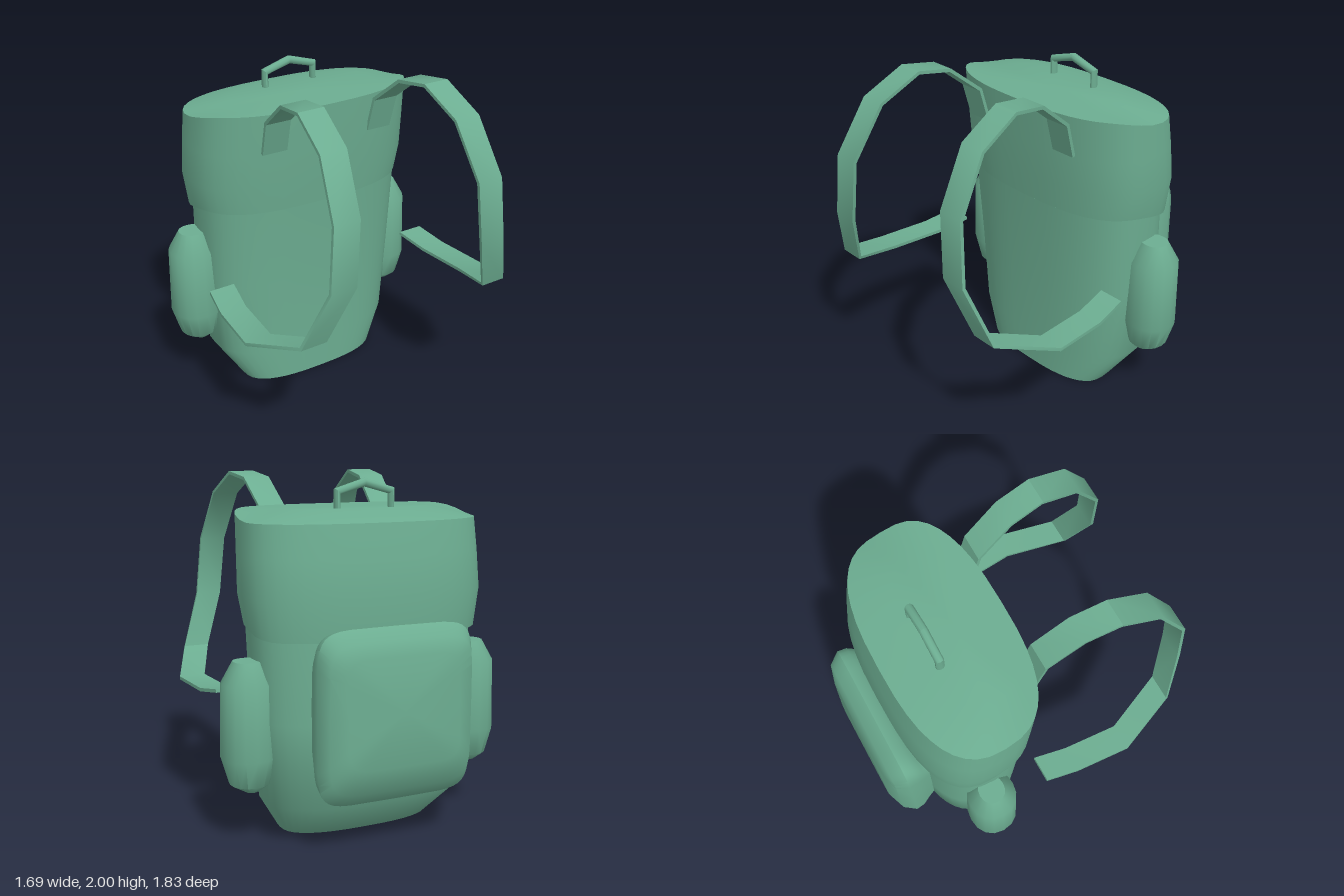
import * as THREE from 'three';
import { toCreasedNormals } from 'three/addons/utils/BufferGeometryUtils.js';

const V = (x, y, z) => new THREE.Vector3(x, y, z);

// Skins a row of rings (equal point counts) and caps both ends, always facing outward.
function loft(rings, crease = 0.75) {
  const n = rings[0].length, pos = [], tris = [];
  rings.forEach(r => r.forEach(p => pos.push(p)));
  for (let i = 0; i < rings.length - 1; i++)
    for (let j = 0; j < n; j++) {
      const a = i * n + j, b = i * n + (j + 1) % n;
      tris.push([a, b, a + n], [b, b + n, a + n]);
    }
  [0, rings.length - 1].forEach(i => {
    const mid = V(0, 0, 0);
    rings[i].forEach(p => mid.addScaledVector(p, 1 / n));
    const c = pos.push(mid) - 1;
    for (let j = 0; j < n; j++) {
      const a = i * n + j, b = i * n + (j + 1) % n;
      tris.push(i ? [a, b, c] : [b, a, c]);
    }
  });
  let volume = 0;
  const cross = V(0, 0, 0);
  tris.forEach(([a, b, c]) => { volume += pos[a].dot(cross.crossVectors(pos[b], pos[c])); });
  if (volume < 0) tris.forEach(t => t.reverse());
  const g = new THREE.BufferGeometry().setFromPoints(pos);
  g.setIndex(tris.flat());
  return toCreasedNormals(g, crease);
}

// Superellipse as [u, v] pairs; a higher power gives squarer corners.
function superEllipse(ru, rv, power, n) {
  const f = t => Math.sign(t) * Math.abs(t) ** (2 / power);
  return Array.from({ length: n }, (_, i) => {
    const a = (i / n) * Math.PI * 2;
    return [ru * f(Math.cos(a)), rv * f(Math.sin(a))];
  });
}

// Horizontal bag section; the height eases from yFront to yBack between z0 and z1.
function bagRing(yFront, yBack, w, zf, zb, z0 = -0.05, z1 = -0.42) {
  return superEllipse(w, (zf - zb) / 2, 2.65, 40).map(([x, v]) => {
    const z = (zf + zb) / 2 + v;
    const t = THREE.MathUtils.smoothstep(-z, -z0, -z1);
    return V(x, THREE.MathUtils.lerp(yFront, yBack, t), z);
  });
}

// Mitred unit normals of a flat path given as [a, b] pairs.
function pathNormals(path) {
  return path.map((_, i) => {
    const p = path[Math.max(i - 1, 0)], q = path[Math.min(i + 1, path.length - 1)];
    const d = new THREE.Vector2(q[0] - p[0], q[1] - p[1]).normalize();
    return [-d.y, d.x];
  });
}

export function createModel() {
  const group = new THREE.Group();
  const fabric = new THREE.MeshStandardMaterial({ color: 0x6cad91 });
  fabric.name = 'green fabric';
  const add = (name, geometry) => {
    const mesh = new THREE.Mesh(geometry, fabric);
    mesh.name = name;
    group.add(mesh);
  };

  // Main bag, narrowing to its base
  add('bagBody', loft([
    bagRing(0, 0, 0.46, -0.06, -0.46),
    bagRing(0.22, 0.22, 0.6, -0.057, -0.68),
    bagRing(0.7, 0.7, 0.645, -0.05, -0.71),
    bagRing(1.21, 1.15, 0.655, -0.01, -0.69, -0.2, -0.6),
  ]));

  // Upper section overhanging the bag, with a sloped lid
  add('topFlap', loft([
    bagRing(1.21, 1.15, 0.67, -0.01, -0.725, -0.2, -0.6),
    bagRing(1.37, 1.37, 0.7, 0.008, -0.738),
    bagRing(1.58, 1.58, 0.695, 0.028, -0.712),
    bagRing(1.82, 1.76, 0.69, 0.045, -0.678),
    bagRing(1.82, 1.82, 0.46, 0, -0.47),
  ], 0.6));

  // Back pocket: rounded panels stacked along z [z, half width, bottom, top]
  add('backPocket', loft([
    [-0.66, 0.43, 0.42, 1.12],
    [-0.70, 0.445, 0.4, 1.16],
    [-0.745, 0.457, 0.31, 1.22],
    [-0.80, 0.46, 0.285, 1.235],
    [-0.87, 0.42, 0.36, 1.17],
    [-0.905, 0.33, 0.5, 1.09],
  ].map(([z, w, y0, y1], i) =>
    superEllipse(w, (y1 - y0) / 2, 7, 40).map(([x, v]) => {
      const y = (y0 + y1) / 2 + v;
      return V(x, y, z + (i === 5 ? (y - 0.8) * 0.035 : 0));
    }))));

  // Carrying handle on the lid
  const bar = [[-0.163, 1.79], [-0.163, 1.91], [0, 1.957], [0.163, 1.91], [0.163, 1.79]];
  const barNormals = pathNormals(bar);
  add('carryHandle', loft(bar.map(([x, y], i) => {
    const r = i % 4 === 0 ? 0.017 : 0.024;
    return superEllipse(r, 0.025, 2, 10).map(([u, v]) =>
      V(x + barNormals[i][0] * u, y + barNormals[i][1] * u, -0.402 + v));
  })));

  // Shoulder strap path [z, y, x of centre]
  const strap = [
    [0.015, 1.6, 0.35], [0.07, 1.8, 0.355], [0.27, 1.96, 0.375], [0.47, 1.988, 0.395],
    [0.71, 1.86, 0.42], [0.885, 1.56, 0.455], [0.908, 1.2, 0.485], [0.815, 0.87, 0.605],
    [0.47, 0.755, 0.738], [0.14, 0.755, 0.712], [-0.06, 0.79, 0.68],
  ];
  const strapNormals = pathNormals(strap);

  // Side pocket levels [y, outward radius, depth radius]
  const pocket = [
    [0.31, 0.04, 0.07], [0.35, 0.11, 0.115], [0.5, 0.155, 0.145],
    [0.91, 0.145, 0.14], [1.03, 0.08, 0.075],
  ];

  [['left', 1], ['right', -1]].forEach(([side, s]) => {
    add(side + 'ShoulderStrap', loft(strap.map(([z, y, x], i) => {
      const [nz, ny] = strapNormals[i];
      return [[-1, -1], [1, -1], [1, 1], [-1, 1]].map(([a, b]) =>
        V(s * (x + a * 0.078), y + ny * b * 0.01, z + nz * b * 0.01));
    }), 0.6));

    add(side + 'SidePocket', loft(pocket.map(([y, rx, rz]) =>
      superEllipse(rx, rz, 2.2, 16).map(([u, v]) => V(s * (0.69 + u), y, -0.4 + v)))));
  });

  return group;
}
